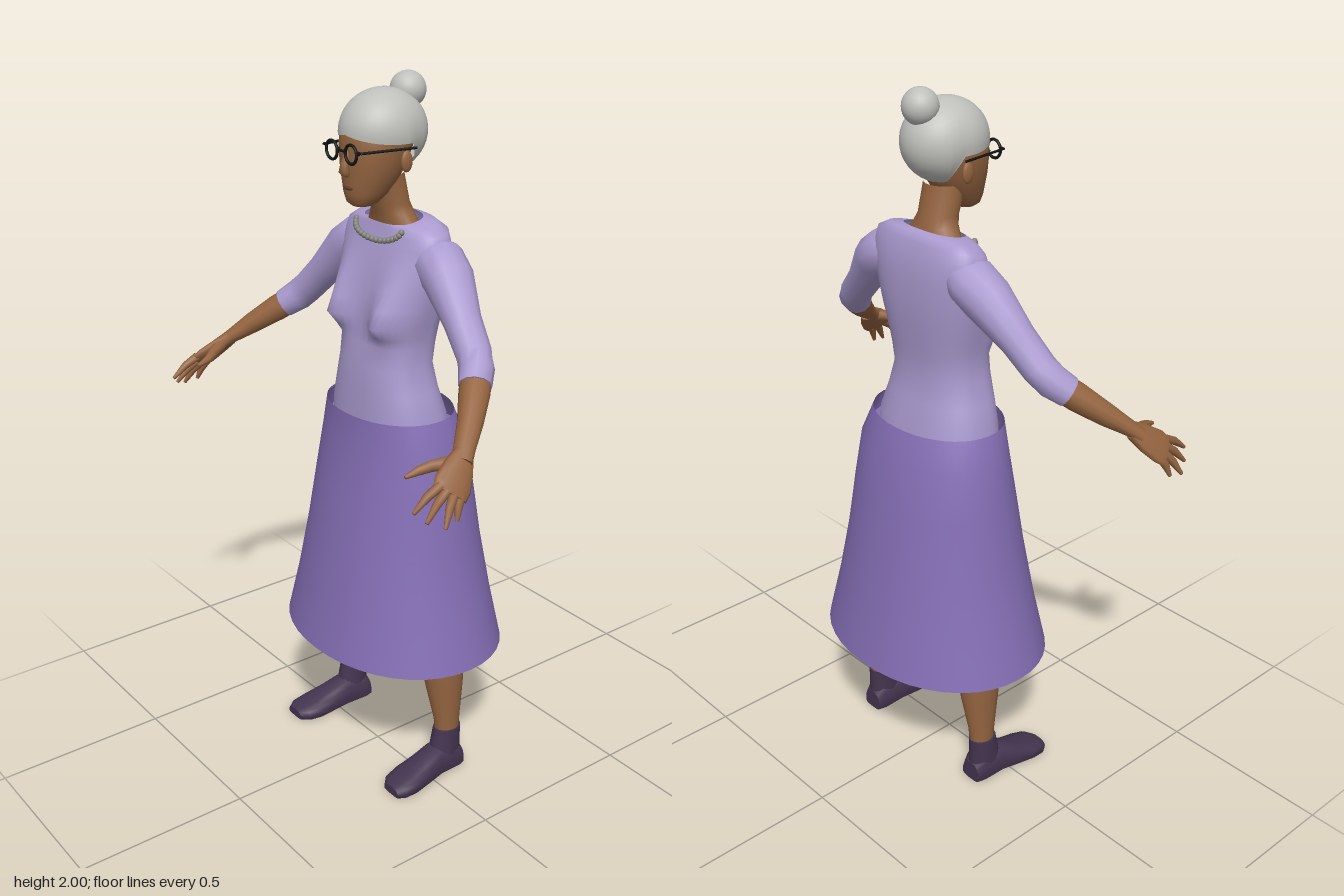
import * as THREE from 'three';

const mat = (name, color, double) => {
  const m = new THREE.MeshStandardMaterial({ color });
  m.name = name;
  if (double) m.side = THREE.DoubleSide;
  return m;
};
const V = (x, y, z) => new THREE.Vector3(x, y, z);

// Skin a surface over closed rings of points, with optional end caps
function loft(rings, capStart = false, capEnd = false) {
  const n = rings[0].length, pos = [], idx = [];
  rings.forEach(r => r.forEach(p => pos.push(p.x, p.y, p.z)));
  for (let i = 0; i < rings.length - 1; i++)
    for (let j = 0; j < n; j++) {
      const a = i * n + j, b = i * n + (j + 1) % n;
      idx.push(a, b, b + n, a, b + n, a + n);
    }
  const cap = (k, flip) => {
    const base = pos.length / 3, c = V(0, 0, 0);
    rings[k].forEach(p => { c.addScaledVector(p, 1 / n); pos.push(p.x, p.y, p.z); });
    pos.push(c.x, c.y, c.z);
    for (let j = 0; j < n; j++) {
      const a = base + j, b = base + (j + 1) % n;
      flip ? idx.push(b, a, base + n) : idx.push(a, b, base + n);
    }
  };
  if (capStart) cap(0, true);
  if (capEnd) cap(rings.length - 1, false);
  const g = new THREE.BufferGeometry();
  g.setAttribute('position', new THREE.Float32BufferAttribute(pos, 3));
  g.setIndex(idx);
  g.computeVertexNormals();
  return g;
}

const spow = (v, e) => Math.sign(v) * Math.pow(Math.abs(v), e);

// Horizontal body sections [y, halfWidth, zFront, zBack]; e below 1 is boxier
function body(sections, { e = 1, n = 32, x0 = 0, shape = null, caps = [false, false] } = {}) {
  return loft(sections.map(([y, w, zf, zb]) => Array.from({ length: n }, (_, j) => {
    const a = j / n * Math.PI * 2;
    const p = V(x0 + w * spow(Math.sin(a), e), y, (zf + zb) / 2 + (zf - zb) / 2 * spow(Math.cos(a), e));
    if (shape) shape(p, Math.cos(a));
    return p;
  })), ...caps);
}

// Tapered limb through [x, y, z, radius, radius2]; ref sets the roll
function limb(path, { s = 1, ref = V(0, 1, 0), n = 12 } = {}) {
  const pts = path.map(p => V(p[0] * s, p[1], p[2]));
  return loft(pts.map((p, i) => {
    const t = pts[Math.min(i + 1, pts.length - 1)].clone().sub(pts[Math.max(i - 1, 0)]).normalize();
    const v = ref.clone().cross(t).normalize(), u = v.clone().cross(t);
    const [, , , r, r2 = r] = path[i];
    return Array.from({ length: n }, (_, j) => {
      const a = j / n * Math.PI * 2;
      return p.clone().addScaledVector(u, r * Math.cos(a)).addScaledVector(v, r2 * Math.sin(a));
    });
  }), true, true);
}

export function createModel() {
  const root = new THREE.Group();
  root.name = 'elderlyWoman';
  const skin = mat('skin', 0x946440), blouse = mat('blouse', 0xab9bd0, true),
    skirt = mat('skirt', 0x846eb4, true), hair = mat('hair', 0xbfc0bb, true),
    shoe = mat('shoe', 0x44344f), black = mat('glassesBlack', 0x151414),
    bead = mat('bead', 0x85837c), lip = mat('lip', 0x70402f);
  const add = (name, geo, m, x = 0, y = 0, z = 0) => {
    const mesh = new THREE.Mesh(geo, m);
    mesh.name = name;
    mesh.position.set(x, y, z);
    root.add(mesh);
    return mesh;
  };

  // Blouse body with bust and a neckline that rises at the back
  add('blouseBody', body([
    [1.02, .185, .08, -.165], [1.1, .183, .078, -.157], [1.17, .162, .075, -.137], [1.24, .142, .072, -.127],
    [1.3, .146, .062, -.132], [1.33, .15, .058, -.136], [1.365, .158, .056, -.14], [1.41, .168, .05, -.146],
    [1.46, .178, .042, -.15], [1.52, .188, .028, -.151], [1.565, .192, .015, -.148], [1.592, .18, .007, -.138],
    [1.612, .145, .002, -.122], [1.62, .096, 0, -.105]
  ], {
    e: .78, n: 48, shape: (p, c) => {
      if (c > 0) {
        const dx = Math.max(0, 1 - Math.abs(Math.abs(p.x) - .1) / .075);
        const dy = Math.max(0, p.y < 1.365 ? 1 - (1.365 - p.y) / .06 : 1 - (p.y - 1.365) / .17);
        p.z += .058 * dx * dy;
      }
      if (p.y > 1.59) p.y -= p.z * .2;
    }
  }), blouse);

  // Skirt, open at the hem
  add('skirt', body([
    [.4, .355, .222, -.332], [.56, .312, .192, -.303], [.73, .277, .163, -.274],
    [.88, .257, .137, -.25], [1.02, .236, .113, -.225], [1.105, .205, .11, -.194]
  ], { n: 40, e: .95 }), skirt);

  // Neck, head and nose
  add('neck', body([
    [1.59, .105, -.008, -.115], [1.62, .088, -.003, -.103], [1.645, .068, .002, -.098],
    [1.67, .056, .012, -.09], [1.75, .056, .04, -.072]
  ], { n: 24 }), skin);
  add('head', body([
    [1.672, .026, .078, .03], [1.682, .042, .09, .008], [1.705, .056, .096, -.02], [1.735, .069, .098, -.045],
    [1.77, .083, .099, -.066], [1.82, .094, .1, -.085], [1.86, .094, .096, -.1], [1.9, .08, .075, -.09]
  ], { n: 28, e: .92, caps: [true, true] }), skin);
  add('nose', limb([[0, 1.815, .094, .008, .007], [0, 1.785, .106, .011, .011], [0, 1.765, .108, .013, .017],
    [0, 1.753, .1, .006, .01]], { ref: V(0, 0, 1) }), skin);
  add('mouth', new THREE.SphereGeometry(1, 14, 8), lip, 0, 1.722, .096).scale.set(.021, .006, .004);

  // Swept hair cap, low at the nape, and bun
  const hairRings = [];
  for (let i = 0; i <= 16; i++)
    hairRings.push(Array.from({ length: 36 }, (_, j) => {
      const a = j / 36 * Math.PI * 2;
      const k = THREE.MathUtils.smoothstep(-Math.cos(a), .15, .6);
      const t = (1.56 + .2 * Math.abs(Math.sin(a)) * (1 - k) + 1.12 * k) * (1 - i / 16 * .999);
      return V(.105 * Math.sin(t) * Math.sin(a), 1.857 + .109 * Math.cos(t), -.017 + .122 * Math.sin(t) * Math.cos(a));
    }));
  add('hairCap', loft(hairRings), hair);
  add('hairBun', new THREE.SphereGeometry(.048, 24, 16), hair, 0, 1.952, -.097);

  // Glasses bridge
  const bar = (name, a, b, r = .0035) =>
    add(name, new THREE.TubeGeometry(new THREE.LineCurve3(a, b), 1, r, 6), black);
  bar('glassesBridge', V(-.017, 1.82, .116), V(.017, 1.82, .116));

  // Necklace
  for (let i = 0; i < 17; i++) {
    const k = i / 8 - 1;
    add('necklaceBead', new THREE.SphereGeometry(.0085, 10, 8), bead,
      .098 * Math.sin(k * 1.45), 1.577 + .032 * k * k, .02 - .022 * k * k);
  }

  for (const s of [1, -1]) {
    const side = s > 0 ? 'left' : 'right';
    const part = (name, path, m, opt = {}) => add(side + name, limb(path, { s, ...opt }), m);

    // Face details
    add(side + 'Eye', new THREE.SphereGeometry(1, 12, 8), black, s * .04, 1.815, .094).scale.set(.01, .006, .004);
    add(side + 'Ear', new THREE.SphereGeometry(1, 12, 10), skin, s * .092, 1.79, -.022).scale.set(.009, .028, .018);
    add(side + 'GlassesRim', new THREE.TorusGeometry(.024, .004, 8, 24), black, s * .041, 1.816, .116);
    bar(side + 'GlassesHinge', V(s * .064, 1.824, .116), V(s * .082, 1.824, .112));
    bar(side + 'GlassesTemple', V(s * .08, 1.824, .113), V(s * .104, 1.824, -.045));

    // Sleeve and forearm
    part('Sleeve', [[.12, 1.55, -.075, .05, .055], [.165, 1.535, -.072, .066, .072], [.215, 1.5, -.065, .066, .068],
      [.3, 1.415, -.042, .049, .05], [.365, 1.35, -.026, .046, .047], [.395, 1.32, -.01, .045, .046],
      [.425, 1.292, .02, .041, .043]], blouse);
    part('Forearm', [[.41, 1.305, .005, .038, .04], [.44, 1.278, .035, .038, .04], [.49, 1.23, .09, .031, .033],
      [.53, 1.188, .142, .021, .028], [.545, 1.168, .165, .019, .03]], skin);

    // Hand
    const across = V(-s * .32, .3, .9).normalize();
    part('Palm', [[.533, 1.183, .145, .026, .02], [.55, 1.157, .175, .041, .019], [.57, 1.128, .21, .05, .017],
      [.58, 1.112, .228, .046, .012]], skin, { ref: across });
    [[[.564, 1.135, .243], [.565, 1.084, .325]], [[.574, 1.121, .233], [.587, 1.06, .302]],
      [[.583, 1.11, .218], [.611, 1.044, .264]], [[.587, 1.105, .2], [.605, 1.05, .224]]].forEach(([a, b], i) => {
      const mid = a.map((v, k) => (v + b[k]) / 2 + (k === 1 ? .006 : 0));
      part('Finger' + (i + 1), [[...a, .013], [...mid, .011], [...b, .005]], skin, { n: 8 });
    });
    part('Thumb', [[.54, 1.17, .17, .019], [.505, 1.158, .222, .015], [.49, 1.148, .25, .012], [.484, 1.138, .287, .005]],
      skin, { n: 8 });

    // Undershorts and leg
    const ref = V(0, 0, 1);
    part('Undershort', [[.1, 1.06, -.05, .12, .095], [.115, .9, -.055, .115, .1], [.15, .7, -.065, .098, .09],
      [.195, .47, -.073, .081, .073]], skirt, { ref, n: 20 });
    part('Leg', [[.193, .5, -.073, .077, .068], [.205, .4, -.074, .073, .064], [.216, .28, -.078, .058, .05],
      [.228, .17, -.08, .041, .034], [.23, .1, -.08, .036, .03]], skin, { ref, n: 18 });

    // Shoe: ankle cuff plus a flat-soled foot
    add(side + 'ShoeCuff', body([[.03, .04, -.01, -.122], [.08, .036, -.022, -.122], [.14, .035, -.036, -.122]],
      { n: 18, x0: s * .231, caps: [true, true] }), shoe);
    add(side + 'ShoeFoot', loft([
      [-.122, .229, .033, .06], [-.1, .229, .042, .085], [-.03, .231, .042, .088], [.02, .235, .048, .068],
      [.08, .239, .055, .047], [.118, .243, .05, .038], [.14, .247, .032, .026]
    ].map(([z, x, w, h]) => Array.from({ length: 16 }, (_, j) => {
      const a = j / 16 * Math.PI * 2, sy = Math.sin(a);
      const flare = sy < 0 ? 1.05 : 1 - .2 * sy;
      return V(s * x + w * flare * spow(Math.cos(a), .7), h / 2 + h / 2 * spow(sy, sy < 0 ? .3 : .8), z);
    })), true, true), shoe);
  }
  return root;
}
